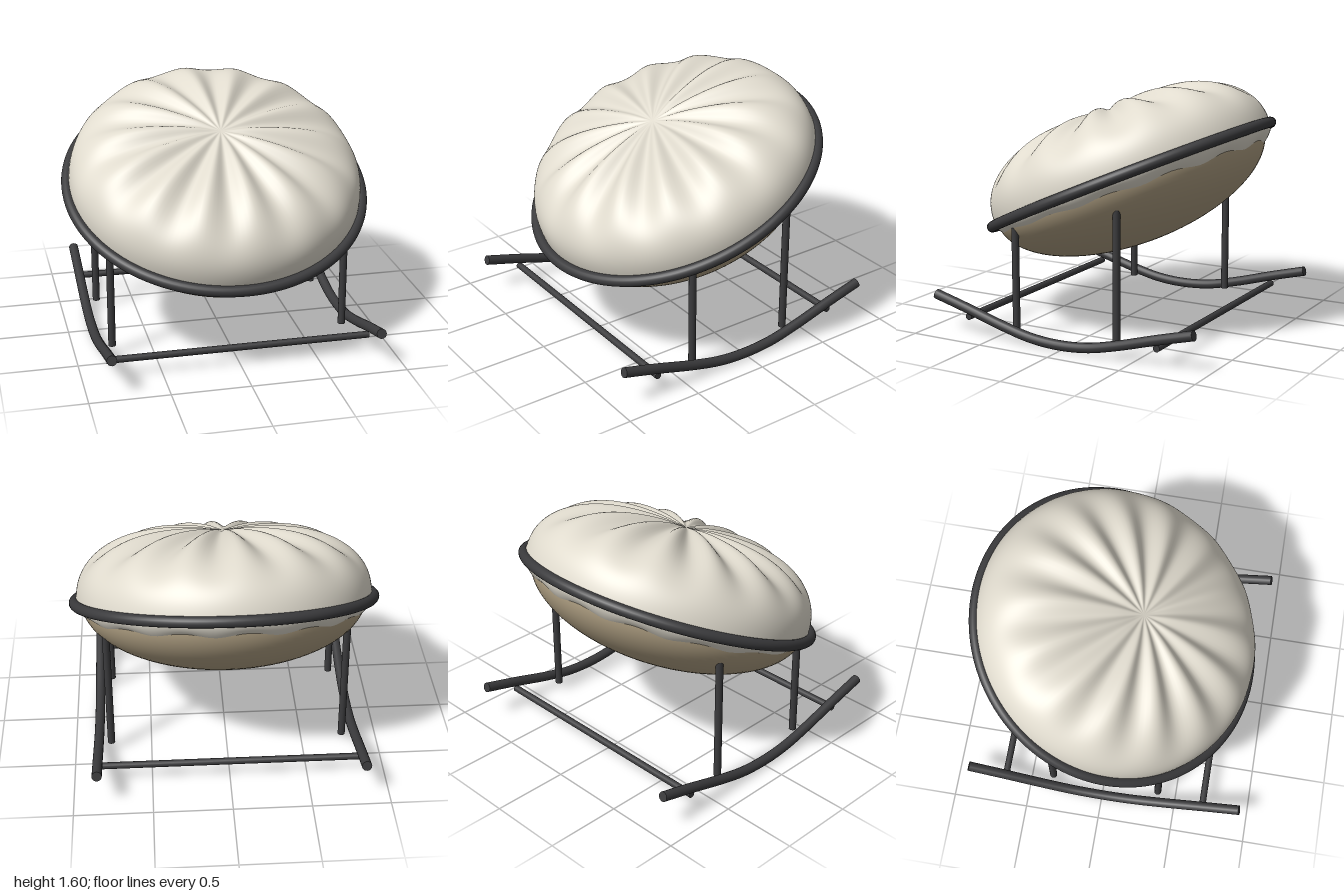
import * as THREE from 'three';
import { mergeVertices } from 'three/addons/utils/BufferGeometryUtils.js';

const material = (name, color, side = THREE.FrontSide) => {
  const m = new THREE.MeshStandardMaterial({ color, side });
  m.name = name;
  return m;
};

function add(parent, name, geometry, mat, x = 0, y = 0, z = 0) {
  const mesh = new THREE.Mesh(geometry, mat);
  mesh.name = name;
  mesh.position.set(x, y, z);
  parent.add(mesh);
  return mesh;
}

// Plump round cushion: flattened sphere with radial gathers and a tufted centre
function cushionGeometry() {
  const R = 0.952, top = 0.452, bottom = 0.25, folds = 14;
  const geo = new THREE.SphereGeometry(1, 168, 80);
  const pos = geo.attributes.position;
  for (let i = 0; i < pos.count; i++) {
    const x = pos.getX(i), y = pos.getY(i), z = pos.getZ(i);
    const angle = Math.atan2(z, x);
    let r = Math.min(1, Math.hypot(x, z)), h = y * bottom;
    if (y > 0) {
      r = Math.pow(r, 2 / 2.6);
      h = Math.pow(y, 2 / 2.6) * top - 0.015 * Math.exp(-Math.pow(r / 0.12, 2));
    }
    // Gathers swell towards the middle of the radius and fade at centre and rim
    h += 0.027 * Math.sin(folds * angle) * Math.sin(Math.PI * Math.pow(r, 1.35));
    r *= R;
    pos.setXYZ(i, r * Math.cos(angle), h, r * Math.sin(angle));
  }
  geo.deleteAttribute('uv');
  geo.deleteAttribute('normal');
  const merged = mergeVertices(geo, 1e-5);
  merged.computeVertexNormals();
  return merged;
}

export function createModel() {
  const model = new THREE.Group();
  model.name = 'rockingChair';
  const frameMat = material('dark metal', 0x3b3b3d);
  const cushionMat = material('cream fabric', 0xe0dbce);
  const shellMat = material('tan shell', 0xb0a083, THREE.DoubleSide);

  // Tilted seat: ring, bowl and cushion
  const seat = new THREE.Group();
  seat.name = 'seat';
  seat.position.set(0, 0.962, -0.028);
  seat.rotation.x = THREE.MathUtils.degToRad(23.8);
  model.add(seat);

  const ring = add(seat, 'seatRing', new THREE.TorusGeometry(0.965, 0.035, 20, 120), frameMat);
  ring.rotation.x = Math.PI / 2;

  const bowl = add(seat, 'seatBowl',
    new THREE.SphereGeometry(1, 96, 28, 0, Math.PI * 2, Math.PI / 2, Math.PI / 2), shellMat, 0, 0, 0.008);
  bowl.scale.set(0.92, 0.447, 0.92);

  add(seat, 'cushion', cushionGeometry(), cushionMat, 0, 0, -0.012);

  // Base: curved rockers, posts and cross rails
  const base = new THREE.Group();
  base.name = 'base';
  base.position.z = 0.012;
  model.add(base);

  const half = [[0.925, 0.234], [0.7, 0.175], [0.4, 0.09], [0.2, 0.046]];
  const points = [
    ...half.map(([z, y]) => new THREE.Vector3(0, y, z)),
    new THREE.Vector3(0, 0.032, 0),
    ...half.slice().reverse().map(([z, y]) => new THREE.Vector3(0, y, -z)),
  ];
  const path = new THREE.CatmullRomCurve3(points);
  const rockerGeo = new THREE.TubeGeometry(path, 64, 0.032, 16);
  const capGeo = new THREE.CircleGeometry(0.032, 16);

  for (const side of [1, -1]) {
    const label = side > 0 ? 'left' : 'right';
    const rocker = add(base, label + 'Rocker', rockerGeo, frameMat, side * 0.845);
    for (const t of [0, 1]) {
      const p = path.getPointAt(t);
      const outward = path.getTangentAt(t).multiplyScalar(t ? 1 : -1);
      const cap = add(rocker, 'rockerEnd', capGeo, frameMat, p.x, p.y, p.z);
      cap.quaternion.setFromUnitVectors(new THREE.Vector3(0, 0, 1), outward);
    }
    for (const [name, z, topY] of [['FrontPost', 0.364, 0.76], ['BackPost', -0.362, 0.95]]) {
      const length = topY - 0.06;
      add(base, label + name, new THREE.CylinderGeometry(0.024, 0.024, length, 16),
        frameMat, side * 0.764, 0.06 + length / 2, z);
    }
  }

  for (const [name, z] of [['frontRail', 0.678], ['backRail', -0.678]]) {
    const rail = add(base, name, new THREE.CylinderGeometry(0.022, 0.022, 1.69, 16), frameMat, 0, 0.116, z);
    rail.rotation.z = Math.PI / 2;
  }
  return model;
}
